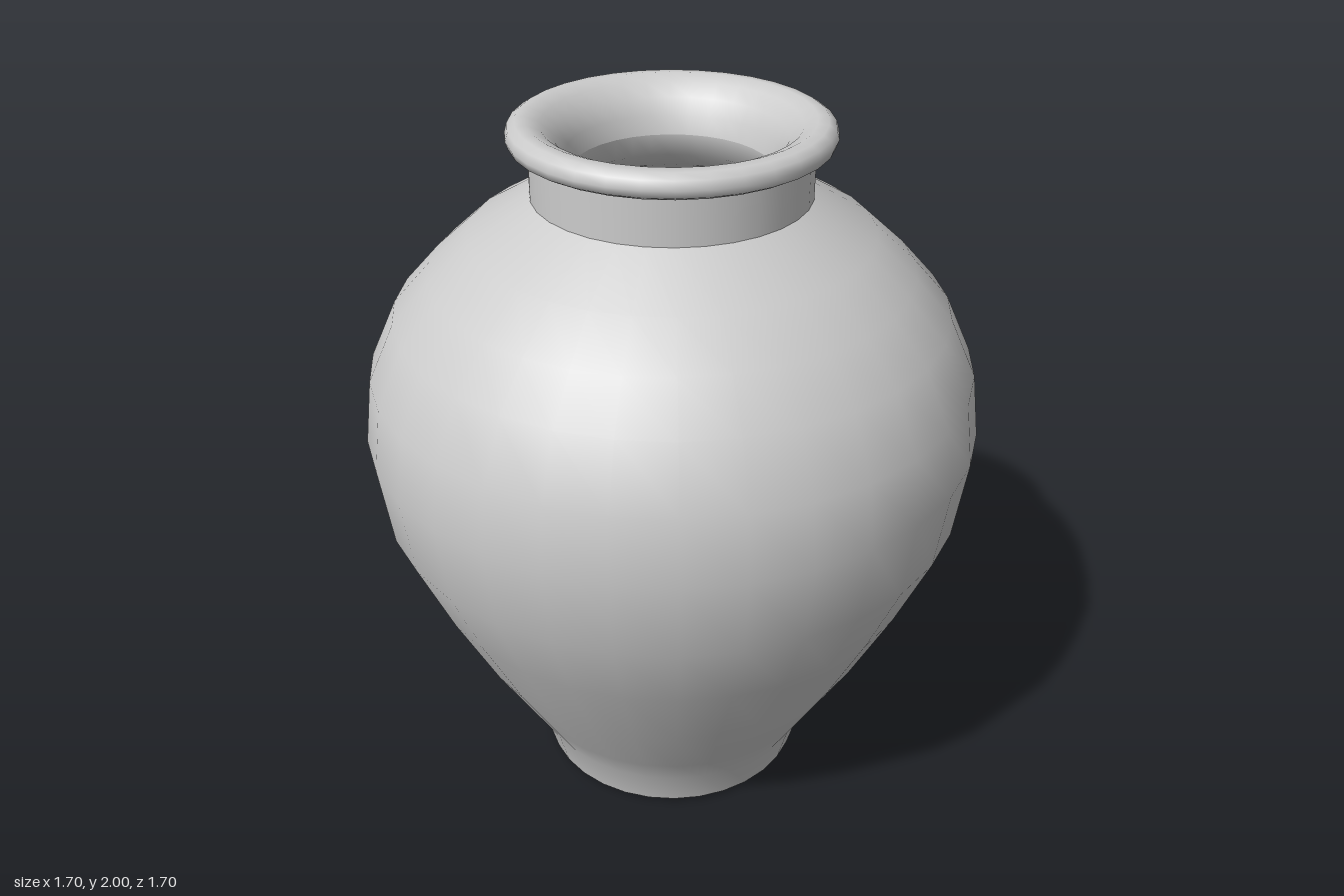
import * as THREE from 'three';

const SIDES = 32;
const material = new THREE.MeshStandardMaterial({ color: 0xcccccc });

// One smooth turned section; neighbouring sections meet in a crisp edge.
function turned(name, profile) {
  const points = profile.map(([r, y]) => new THREE.Vector2(r, y));
  const mesh = new THREE.Mesh(new THREE.LatheGeometry(points, SIDES), material);
  mesh.name = name;
  return mesh;
}

export function createModel() {
  const vase = new THREE.Group();
  vase.name = 'vase';

  // Profile runs from the underside, up the outside, over the lip and down the inside.
  const body = [
    [0.39, 0.012], [0.42, 0.125], [0.48, 0.23], [0.605, 0.45], [0.725, 0.695], [0.82, 0.92],
    [0.85, 1.15], [0.825, 1.33], [0.75, 1.49], [0.65, 1.60], [0.54, 1.70], [0.37, 1.80],
  ];
  const lip = [
    [0.37, 1.93], [0.40, 1.932], [0.418, 1.942], [0.425, 1.962], [0.418, 1.985], [0.398, 1.998],
    [0.37, 2.0], [0.335, 1.985], [0.30, 1.952], [0.274, 1.91], [0.262, 1.86],
  ];
  const interior = [
    [0.262, 1.86], [0.27, 1.80], [0.34, 1.745], [0.50, 1.655], [0.60, 1.565], [0.69, 1.465],
    [0.765, 1.32], [0.79, 1.15], [0.76, 0.935], [0.665, 0.72], [0.545, 0.475], [0.42, 0.255],
    [0.355, 0.15], [0.33, 0.10],
  ];

  vase.add(
    turned('underside', [[0, 0.045], [0.315, 0.045]]),
    turned('footRing', [[0.315, 0.045], [0.318, 0.015], [0.33, 0], [0.375, 0], [0.39, 0.012]]),
    turned('body', body),
    turned('neck', [[0.37, 1.80], [0.37, 1.93]]),
    turned('lip', lip),
    turned('interior', interior),
    turned('floor', [[0.33, 0.10], [0, 0.10]]),
  );
  return vase;
}
